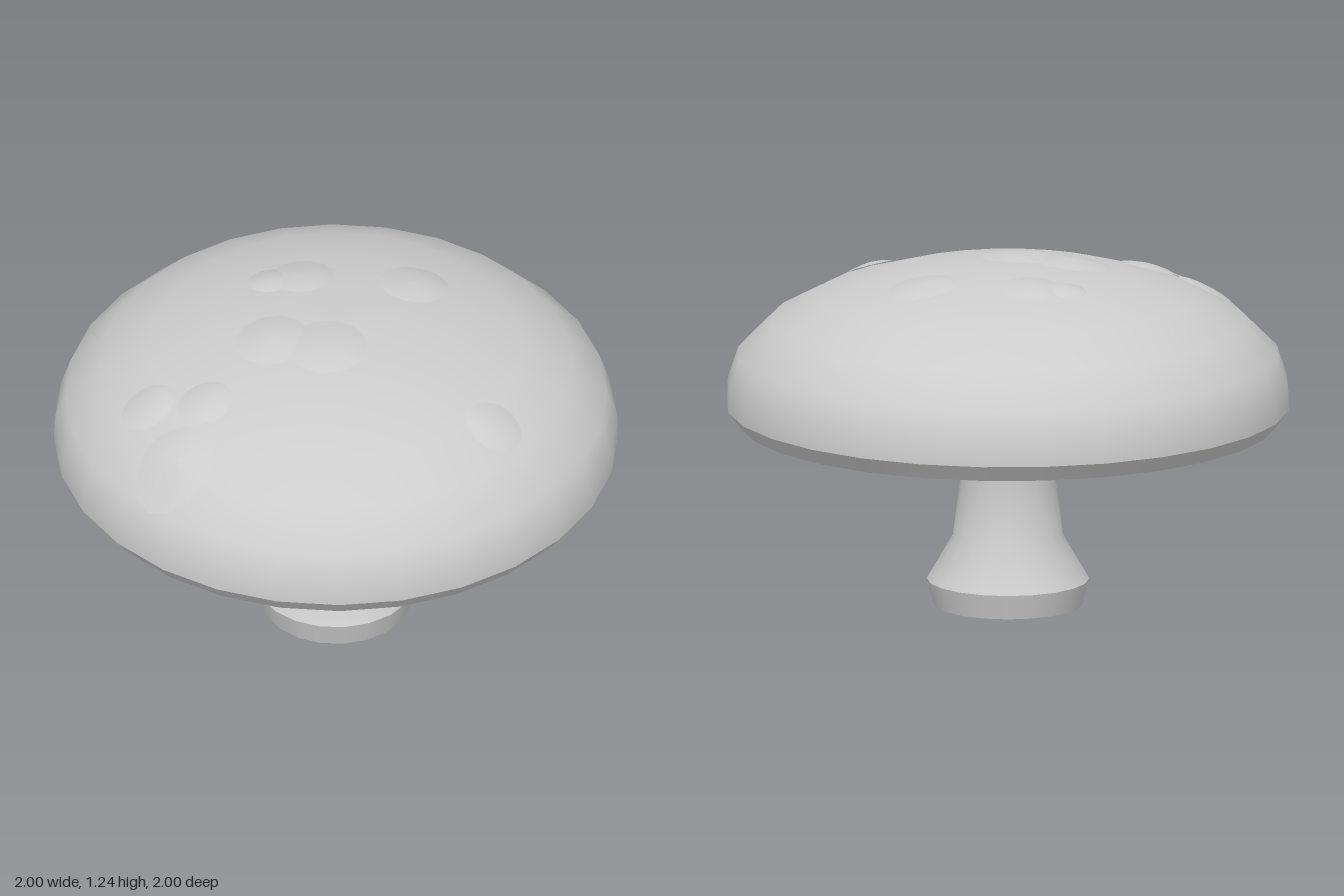
import * as THREE from 'three';

const grey = new THREE.MeshStandardMaterial({ color: 0xcccccc });
grey.name = 'plain grey';

// Dome profile from rim to crown: [radius, height]
const dome = [[1, 0.72], [0.997, 0.8], [0.96, 0.91], [0.84, 1.03], [0.67, 1.12],
  [0.45, 1.185], [0.22, 1.222], [0, 1.233]];

function turned(name, profile, sides) {
  const points = profile.map(([r, y]) => new THREE.Vector2(r, y));
  const mesh = new THREE.Mesh(new THREE.LatheGeometry(points, sides), grey);
  mesh.name = name;
  return mesh;
}

// Height of the dome at a given radius
function domeHeight(r) {
  for (let i = 1; i < dome.length; i++) {
    const [r0, y0] = dome[i - 1], [r1, y1] = dome[i];
    if (r >= r1) return y0 + (y1 - y0) * (r0 - r) / (r0 - r1);
  }
  return dome[dome.length - 1][1];
}

// Low rounded spot that follows the dome
function spot(cx, cz, radius) {
  const sides = 12, rings = 3, positions = [], index = [];
  for (let k = 0; k <= rings; k++) {
    const t = k / rings;
    for (let i = 0; i < sides; i++) {
      const a = (i / sides) * Math.PI * 2;
      const x = cx + Math.cos(a) * radius * t, z = cz + Math.sin(a) * radius * t;
      const lift = 0.004 + 0.014 * (1 - t * t);
      positions.push(x, domeHeight(Math.hypot(x, z)) + lift, z);
      if (k === 0) continue;
      const n = (i + 1) % sides, p = (k - 1) * sides, q = k * sides;
      index.push(p + i, q + n, q + i);
      if (k > 1) index.push(p + i, p + n, q + n);
    }
  }
  const geometry = new THREE.BufferGeometry();
  geometry.setAttribute('position', new THREE.Float32BufferAttribute(positions, 3));
  geometry.setIndex(index);
  geometry.computeVertexNormals();
  const mesh = new THREE.Mesh(geometry, grey);
  mesh.name = 'capSpot';
  return mesh;
}

export function createModel() {
  const model = new THREE.Group();
  model.name = 'mushroom';

  // Stem: foot disc, flared foot and waisted shaft
  const stem = new THREE.Group();
  stem.name = 'stem';
  stem.add(
    turned('stemBase', [[0, 0], [0.265, 0]], 20),
    turned('stemFoot', [[0.265, 0], [0.288, 0.09]], 20),
    turned('stemShaft', [[0.288, 0.09], [0.195, 0.25], [0.17, 0.45], [0.18, 0.57]], 20),
  );

  // Cap: underside, bevelled rim and smooth dome
  const cap = new THREE.Group();
  cap.name = 'cap';
  cap.add(
    turned('capUnderside', [[0, 0.56], [0.18, 0.56], [0.955, 0.66]], 28),
    turned('capRim', [[0.955, 0.66], [1, 0.72]], 28),
    turned('capDome', dome, 28),
  );

  // Spots: x, z, radius
  const spots = new THREE.Group();
  spots.name = 'capSpots';
  [[-0.585, 0.45, 0.095], [-0.375, 0.46, 0.098], [-0.43, 0.7, 0.143], [0.64, 0.32, 0.1],
    [-0.2, 0.14, 0.135], [0, 0.15, 0.145], [0.215, -0.31, 0.125], [-0.18, -0.26, 0.115],
    [-0.285, -0.22, 0.08]].forEach((s) => spots.add(spot(...s)));

  model.add(stem, cap, spots);
  return model;
}
